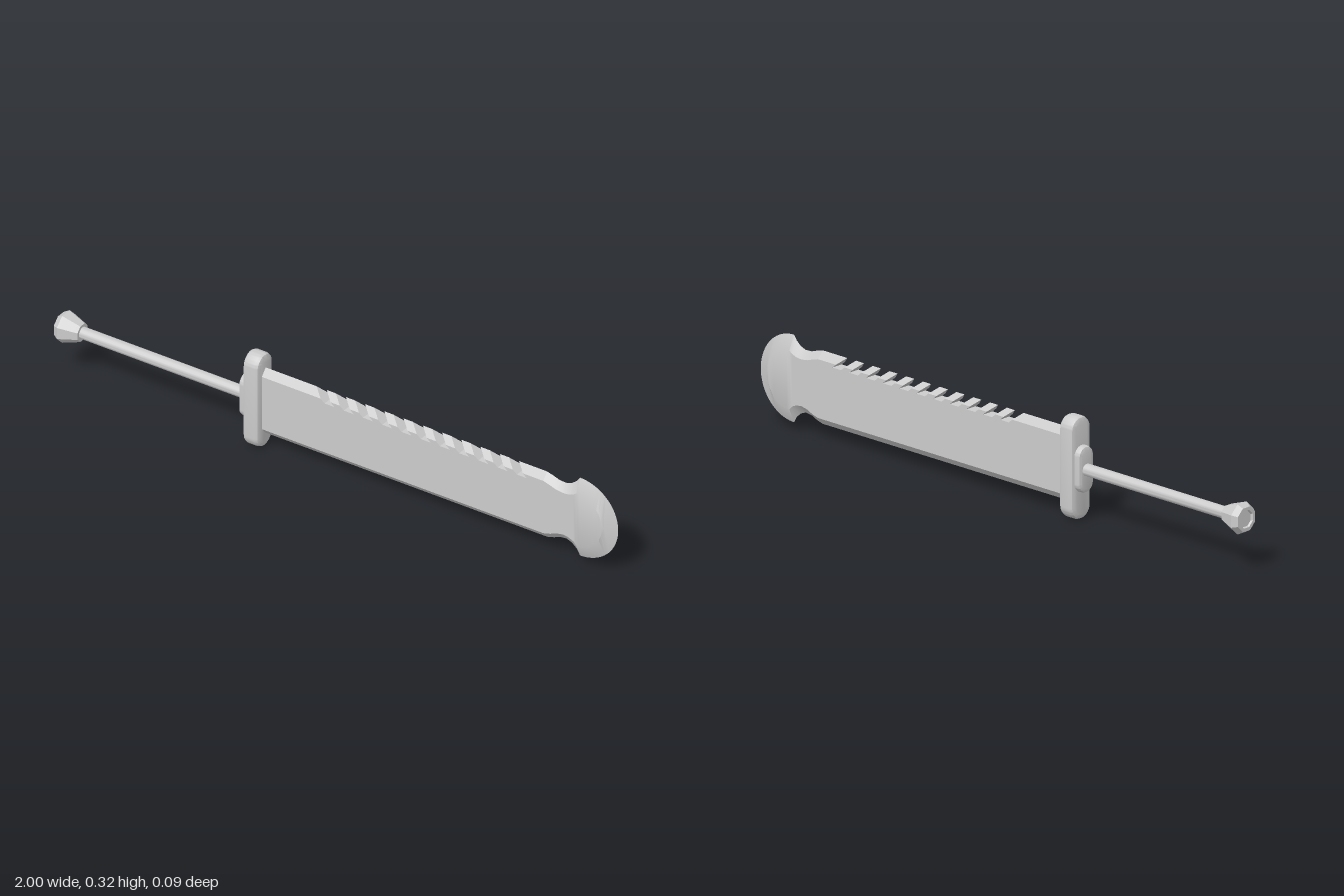
import * as THREE from 'three';
import { toCreasedNormals } from 'three/addons/utils/BufferGeometryUtils.js';

const MID = 0.164;   // height of the long axis
const T = 0.02;      // half thickness of the blade
const FLOOR = 0.245; // bottom of the saw notches
const TOP = 0.28, BOTTOM = 0.05, BEVEL = 0.023;

const material = new THREE.MeshStandardMaterial({ color: 0xcccccc });

function addMesh(parent, name, geometry, crease = 0.5) {
  const mesh = new THREE.Mesh(toCreasedNormals(geometry, crease), material);
  mesh.name = name;
  parent.add(mesh);
  return mesh;
}

// Closed loft along +x; each section is a ring of [x, y, z], turning from +y to +z
function loft(sections) {
  const n = sections[0].length;
  const index = [];
  for (let i = 0; i < sections.length - 1; i++) {
    for (let j = 0; j < n; j++) {
      const a = i * n + j, b = i * n + (j + 1) % n;
      index.push(a, b, b + n, a, b + n, a + n);
    }
  }
  const last = (sections.length - 1) * n;
  for (let j = 1; j < n - 1; j++) {
    index.push(0, j + 1, j, last, last + j, last + j + 1);
  }
  const geometry = new THREE.BufferGeometry();
  geometry.setAttribute('position', new THREE.Float32BufferAttribute(sections.flat(2), 3));
  geometry.setIndex(index);
  return geometry;
}

// Upright capsule plate with chamfered rims, spanning x0..x1
function capsulePlate(halfWidth, halfHeight, x0, x1, chamfer) {
  const r = halfWidth - chamfer;
  const c = halfHeight - halfWidth;
  const shape = new THREE.Shape();
  shape.absarc(0, c, r, 0, Math.PI);
  shape.absarc(0, -c, r, Math.PI, Math.PI * 2);
  shape.closePath();
  const geometry = new THREE.ExtrudeGeometry(shape, {
    depth: x1 - x0 - 2 * chamfer, curveSegments: 12,
    bevelEnabled: true, bevelSize: chamfer, bevelThickness: chamfer, bevelSegments: 2,
  });
  return geometry.rotateY(Math.PI / 2).translate(x0 + chamfer, MID, 0);
}

// Turned part along the x axis; profile points are [radius, x]
function turned(profile, sides) {
  const points = profile.map(([r, x]) => new THREE.Vector2(r, x));
  return new THREE.LatheGeometry(points, sides)
    .rotateY(Math.PI / sides).rotateZ(-Math.PI / 2).translate(0, MID, 0);
}

// Hexagonal section sharp at both edges
function bladeSection(x, top, bottom, flatTop, flatBottom, t) {
  return [[x, top, 0], [x, flatTop, t], [x, flatBottom, t],
    [x, bottom, 0], [x, flatBottom, -t], [x, flatTop, -t]];
}

// Strip of the spine above the notch floor, with slanted ends
function spineStrip(x0, x1, lean0, lean1) {
  const end = (x, lean) => [[TOP, 0], [TOP - BEVEL, T], [FLOOR, T], [FLOOR, -T], [TOP - BEVEL, -T]]
    .map(([y, z]) => [x - lean * (y - FLOOR) / (TOP - FLOOR), y, z]);
  return loft([end(x0, lean0), end(x1, lean1)]);
}

function buildBlade() {
  const blade = new THREE.Group();
  blade.name = 'blade';
  const start = -0.28, neck = 0.745;

  // Main body up to the notch floor
  const body = (x) => [[x, FLOOR, T], [x, BOTTOM + BEVEL, T], [x, BOTTOM, 0],
    [x, BOTTOM + BEVEL, -T], [x, FLOOR, -T]];
  addMesh(blade, 'bladeBody', loft([body(start), body(neck)]));

  // Saw teeth between eleven leaning notches
  const notches = 11, pitch = 0.069, notchWidth = 0.036, lean = 0.042;
  const first = -0.04;
  addMesh(blade, 'spineRear', spineStrip(start, first, 0, lean));
  for (let i = 0; i < notches - 1; i++) {
    const x = first + i * pitch;
    addMesh(blade, 'sawTooth', spineStrip(x + notchWidth, x + pitch, lean, lean));
  }
  addMesh(blade, 'spineFront', spineStrip(first + (notches - 1) * pitch + notchWidth, neck, lean, 0));

  // Pinched neck: x, top, bottom, bevel width
  const sections = [
    [neck, 0.28, 0.05, 0.023], [0.77, 0.273, 0.057, 0.023], [0.79, 0.266, 0.066, 0.023],
    [0.815, 0.265, 0.069, 0.025], [0.835, 0.272, 0.061, 0.03], [0.852, 0.286, 0.046, 0.038],
  ].map(([x, top, bottom, b]) => bladeSection(x, top, bottom, top - b, bottom + b, T));

  // Rounded head, bevelled to a sharp rim
  const r = 0.137, rim = 0.045, cx = 1 - r, steps = 20;
  for (let i = 0; i <= steps; i++) {
    const a = (i / steps) * Math.PI / 2;
    const dx = r * Math.sin(a), h = r * Math.cos(a);
    const flat = Math.sqrt(Math.max(0, (r - rim) ** 2 - dx * dx));
    const t = T * Math.min(1, (r - dx) / rim);
    sections.push(bladeSection(cx + dx, MID + h, MID - h, MID + flat, MID - flat, t));
  }
  addMesh(blade, 'bladeHead', loft(sections));
  return blade;
}

export function createModel() {
  const model = new THREE.Group();
  model.name = 'sword';
  model.add(buildBlade());

  // Hand guard and the collar behind it
  addMesh(model, 'guard', capsulePlate(0.041, 0.161, -0.322, -0.265, 0.013));
  addMesh(model, 'collar', capsulePlate(0.031, 0.073, -0.343, -0.3, 0.01));

  // Grip rod
  addMesh(model, 'gripRod', turned([[0, -0.95], [0.019, -0.95], [0.019, -0.33], [0, -0.33]], 16));

  // Faceted pommel
  addMesh(model, 'pommel', turned([[0, -0.994], [0.026, -0.994], [0.029, -1], [0.04, -1],
    [0.051, -0.982], [0.034, -0.934], [0.029, -0.922], [0, -0.922]], 8));

  return model;
}
